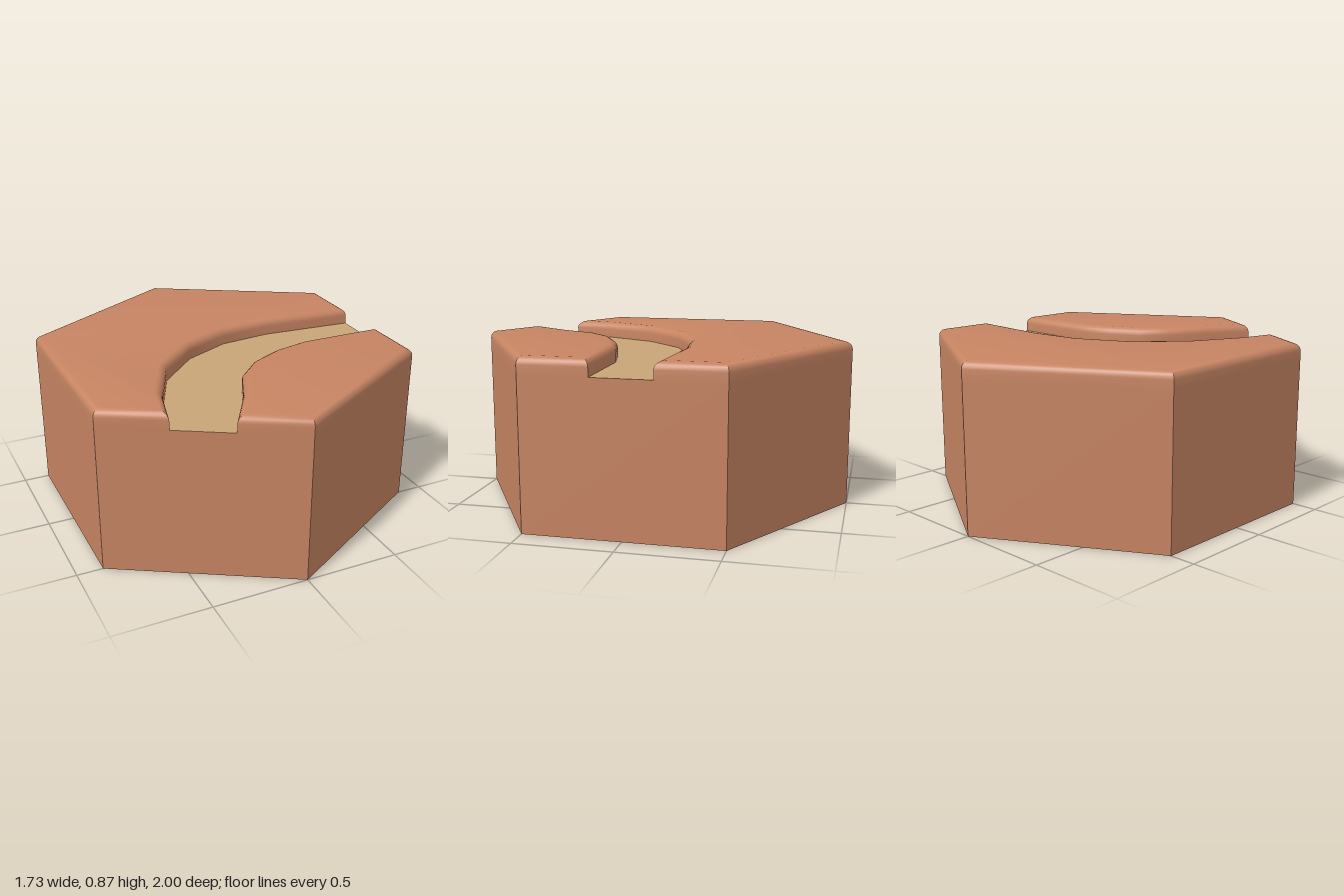
import * as THREE from 'three';
import { toCreasedNormals } from 'three/addons/utils/BufferGeometryUtils.js';

const FLOOR = 0.78, TOP = 0.866, ROUND = 0.04, STEPS = 5;
const W = Math.sqrt(3) / 2;

// Plan points are (x, -z), so counter-clockwise outlines face up.
const plan = (pts) => pts.map(([x, z]) => new THREE.Vector2(x, -z));

// Moves an outline inward by d, with mitred corners.
function inset(outline, d) {
  const n = outline.length;
  const normal = (a, b) => new THREE.Vector2(a.y - b.y, b.x - a.x).normalize();
  return outline.map((p, i) => {
    const n1 = normal(outline[(i + n - 1) % n], p);
    const n2 = normal(p, outline[(i + 1) % n]);
    const miter = n1.clone().add(n2).divideScalar(1 + n1.dot(n2));
    return p.clone().addScaledVector(miter, d);
  });
}

// A slab with upright walls, a rounded top edge and a flat top.
function roundedSlab(outline) {
  const n = outline.length;
  const rings = [{ pts: outline, y: FLOOR }];
  for (let s = 0; s <= STEPS; s++) {
    const a = (s / STEPS) * Math.PI / 2;
    rings.push({
      pts: inset(outline, ROUND * (1 - Math.cos(a))),
      y: TOP - ROUND + ROUND * Math.sin(a),
    });
  }
  const positions = [], index = [];
  rings.forEach(({ pts, y }) => pts.forEach((p) => positions.push(p.x, y, -p.y)));
  for (let r = 0; r < rings.length - 1; r++) {
    for (let i = 0; i < n; i++) {
      const a = r * n + i, b = r * n + (i + 1) % n;
      index.push(a, b, b + n, a, b + n, a + n);
    }
  }
  const last = (rings.length - 1) * n;
  THREE.ShapeUtils.triangulateShape(rings[rings.length - 1].pts, [])
    .forEach((f) => index.push(...f.map((k) => k + last)));
  const geometry = new THREE.BufferGeometry();
  geometry.setAttribute('position', new THREE.Float32BufferAttribute(positions, 3));
  geometry.setIndex(index);
  return toCreasedNormals(geometry, 0.7);
}

export function createModel() {
  const group = new THREE.Group();
  const earth = new THREE.MeshStandardMaterial({ color: 0xc68462 });
  const sand = new THREE.MeshStandardMaterial({ color: 0xc9a578 });
  const add = (name, geometry, material) => {
    const mesh = new THREE.Mesh(geometry, material);
    mesh.name = name;
    group.add(mesh);
  };

  // Both borders of the bent path, from the +x side to the front-left side
  const outer = plan([[W, -0.157], [0.37, -0.192], [0.09, -0.162], [-0.16, -0.045],
    [-0.375, 0.165], [-0.51, 0.455], [-0.565, 0.674]]);
  const inner = plan([[W, 0.15], [0.41, 0.15], [0.22, 0.195], [0.05, 0.28],
    [-0.07, 0.4], [-0.16, 0.6], [-0.3, 0.827]]);

  // Hexagonal base: walls and underside
  const walls = new THREE.CylinderGeometry(1, 1, FLOOR, 6, 1, true);
  walls.translate(0, FLOOR / 2, 0);
  add('baseWalls', toCreasedNormals(walls, 0.5), earth);
  const underside = new THREE.CircleGeometry(1, 6, Math.PI / 2);
  underside.rotateX(Math.PI / 2);
  add('baseUnderside', underside, earth);

  // Sunken path floor
  const path = new THREE.ShapeGeometry(new THREE.Shape([...outer, ...[...inner].reverse()]));
  path.rotateX(-Math.PI / 2).translate(0, FLOOR, 0);
  add('pathFloor', path, sand);

  // Raised ground on either side of the path
  const backCorners = plan([[W, -0.5], [0, -1], [-W, -0.5], [-W, 0.5]]);
  const frontCorners = plan([[0, 1], [W, 0.5]]);
  add('outerGround', roundedSlab([...[...outer].reverse(), ...backCorners]), earth);
  add('innerGround', roundedSlab([...inner, ...frontCorners]), earth);

  return group;
}
